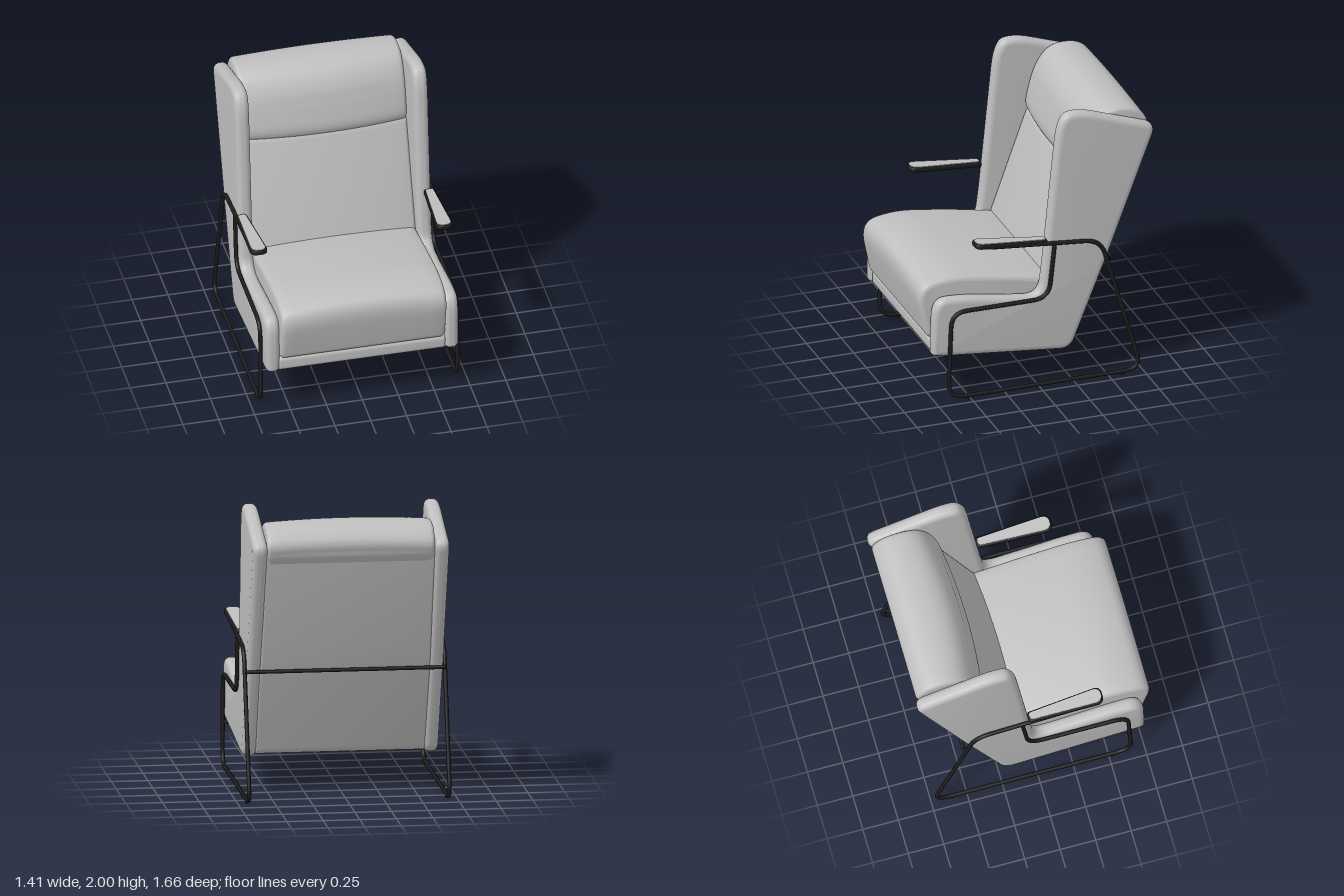
import * as THREE from 'three';
import { toCreasedNormals } from 'three/addons/utils/BufferGeometryUtils.js';

const leather = new THREE.MeshStandardMaterial({ color: 0xbfbfbf });
leather.name = 'greyUpholstery';
const steel = new THREE.MeshStandardMaterial({ color: 0x1c1c1c });
steel.name = 'blackFrame';

// Path through [x, y, cornerRadius] points with rounded corners
function rounded(points, closed = true) {
  const shape = new THREE.Shape();
  const n = points.length;
  const v = points.map((p) => new THREE.Vector2(p[0], p[1]));
  const toward = (a, b, r) => {
    const d = b.clone().sub(a);
    return a.clone().addScaledVector(d, Math.min(r, d.length() * 0.49) / d.length());
  };
  for (let i = 0; i < n; i++) {
    if (!closed && (i === 0 || i === n - 1)) {
      if (i === 0) shape.moveTo(v[0].x, v[0].y);
      else shape.lineTo(v[i].x, v[i].y);
      continue;
    }
    const r = points[i][2] ?? 0.05;
    const a = toward(v[i], v[(i + n - 1) % n], r);
    const b = toward(v[i], v[(i + 1) % n], r);
    if (i === 0) shape.moveTo(a.x, a.y);
    else shape.lineTo(a.x, a.y);
    shape.quadraticCurveTo(v[i].x, v[i].y, b.x, b.y);
  }
  if (closed) shape.closePath();
  return shape;
}

// Upholstered block: a side profile in (z, y) extruded across x with soft ends
function padded(name, profile, width, bevel, bulge) {
  let g = new THREE.ExtrudeGeometry(rounded(profile), {
    depth: width - 2 * bevel, steps: bulge ? 20 : 1, curveSegments: 10,
    bevelEnabled: true, bevelThickness: bevel, bevelSize: bevel, bevelOffset: -bevel, bevelSegments: 6,
  });
  g.translate(0, 0, -(width - 2 * bevel) / 2);
  g.rotateY(-Math.PI / 2);
  if (bulge) {
    const p = g.attributes.position;
    for (let i = 0; i < p.count; i++) {
      const [dy, dz] = bulge(p.getY(i), p.getZ(i));
      const k = 1 - (2 * p.getX(i) / width) ** 2;
      p.setY(i, p.getY(i) + dy * k);
      p.setZ(i, p.getZ(i) + dz * k);
    }
  }
  g = toCreasedNormals(g, 0.7);
  const m = new THREE.Mesh(g, leather);
  m.name = name;
  return m;
}

// Flat armrest layer, tapered to the rear and sloping up to the front
function armLayer(name, side, inset, top, thickness, bevel, material) {
  const i = inset;
  const outline = [
    [0.617 + i, -0.06 + i, 0.02], [0.69 - i, -0.06 + i, 0.02],
    [0.708 - i, 0.465 - i, 0.055], [0.583 + i, 0.465 - i, 0.055],
  ].map(([x, z, r]) => [side * x, z, r]);
  let g = new THREE.ExtrudeGeometry(rounded(outline), {
    depth: thickness - 2 * bevel, curveSegments: 10, bevelEnabled: bevel > 0,
    bevelThickness: bevel, bevelSize: bevel, bevelOffset: -bevel, bevelSegments: 4,
  });
  g.rotateX(Math.PI / 2);
  g.translate(0, top - bevel, 0);
  const p = g.attributes.position;
  for (let k = 0; k < p.count; k++) p.setY(k, p.getY(k) + 0.1 * p.getZ(k));
  g = toCreasedNormals(g, 0.7);
  const m = new THREE.Mesh(g, material);
  m.name = name;
  return m;
}

function crossBar(name, y, z) {
  const g = new THREE.CylinderGeometry(0.013, 0.013, 1.37, 12);
  g.rotateZ(Math.PI / 2);
  const m = new THREE.Mesh(g, steel);
  m.position.set(0, y, z);
  m.name = name;
  return m;
}

export function createModel() {
  const chair = new THREE.Group();
  chair.name = 'wingbackArmchair';

  // Shell under the seat and behind the back
  chair.add(padded('shell', [
    [0.75, 0.335, 0.03], [0.75, 0.435, 0.03], [0.1, 0.56, 0.1], [-0.2, 0.62, 0.1],
    [-0.66, 1.78, 0.04], [-0.81, 1.78, 0.04], [-0.5, 0.91, 0.1], [-0.225, 0.255, 0.05],
  ], 1.17, 0.02));

  // Seat cushion with a rounded front and a crowned top
  chair.add(padded('seatCushion', [
    [0.77, 0.435, 0.05], [0.85, 0.82, 0.16], [0.6, 0.872, 0.14], [0.2, 0.815, 0.15],
    [-0.2, 0.735, 0.06], [-0.2, 0.56, 0.05], [0.2, 0.44, 0.05],
  ], 1.15, 0.035, (y) => [0.035 * THREE.MathUtils.smoothstep(y, 0.5, 0.8), 0]));

  // Back cushion and head pillow, both bowed forward in the middle
  chair.add(padded('backCushion', [
    [-0.075, 0.68, 0.05], [-0.37, 1.5, 0.05], [-0.7, 1.5, 0.05], [-0.35, 0.66, 0.05],
  ], 1.15, 0.02, (y, z) => [0, z > -0.4 + (1.1 - y) * 0.36 ? 0.04 : 0]));
  chair.add(padded('headPillow', [
    [-0.38, 1.455, 0.05], [-0.345, 1.53, 0.07], [-0.41, 1.8, 0.14], [-0.53, 1.945, 0.12],
    [-0.74, 1.935, 0.1], [-0.835, 1.815, 0.06], [-0.8, 1.72, 0.04], [-0.65, 1.5, 0.05],
  ], 1.15, 0.03, (y, z) => [y > 1.75 ? 0.015 : 0, 0.045 * THREE.MathUtils.smoothstep(z, -0.75, -0.4)]));

  for (const side of [1, -1]) {
    const label = side > 0 ? 'left' : 'right';

    // Wing panel running from the top of the back to the seat front
    const wing = padded(label + 'Wing', [
      [0.725, 0.33, 0.05], [0.765, 0.345, 0.02], [0.755, 0.755, 0.14], [0.55, 0.752, 0.1],
      [0.2, 0.695, 0.1], [-0.01, 0.67, 0.1], [-0.04, 0.9, 0.1],
      [-0.15, 1.985, 0.2], [-0.3, 2.012, 0.12], [-0.855, 1.82, 0.08],
      [-0.5, 0.89, 0.1], [-0.235, 0.235, 0.08],
    ], 0.1, 0.042);
    wing.position.x = side * 0.622;
    chair.add(wing);

    // Bent tube side frame: arm, rear leg, floor runner, front leg, arm support
    const path = rounded([
      [0.36, 1.105], [-0.44, 1.032, 0.11], [-0.735, 0.022, 0.12], [0.66, 0.022, 0.12],
      [0.635, 0.658, 0.11], [-0.065, 0.658, 0.11], [-0.11, 1.07],
    ], false);
    const pts = path.getSpacedPoints(180).map((p) => new THREE.Vector3(side * 0.685, p.y, p.x));
    const frame = new THREE.Mesh(
      new THREE.TubeGeometry(new THREE.CatmullRomCurve3(pts), 240, 0.0145, 10), steel);
    frame.name = label + 'Frame';
    chair.add(frame);

    // Floor glides
    for (const z of [0.52, -0.6]) {
      const glide = new THREE.Mesh(new THREE.CylinderGeometry(0.011, 0.011, 0.02, 12), steel);
      glide.position.set(side * 0.685, 0.01, z);
      glide.name = label + 'Glide';
      chair.add(glide);
    }

    // Armrest: dark tray with a thin pad on top
    chair.add(armLayer(label + 'ArmTray', side, 0, 1.098, 0.036, 0.012, steel));
    chair.add(armLayer(label + 'ArmPad', side, 0.011, 1.102, 0.008, 0, leather));
  }

  // Cross bars below the seat front and behind the back
  chair.add(crossBar('frontCrossBar', 0.312, 0.645));
  chair.add(crossBar('rearCrossBar', 0.89, -0.522));
  return chair;
}
